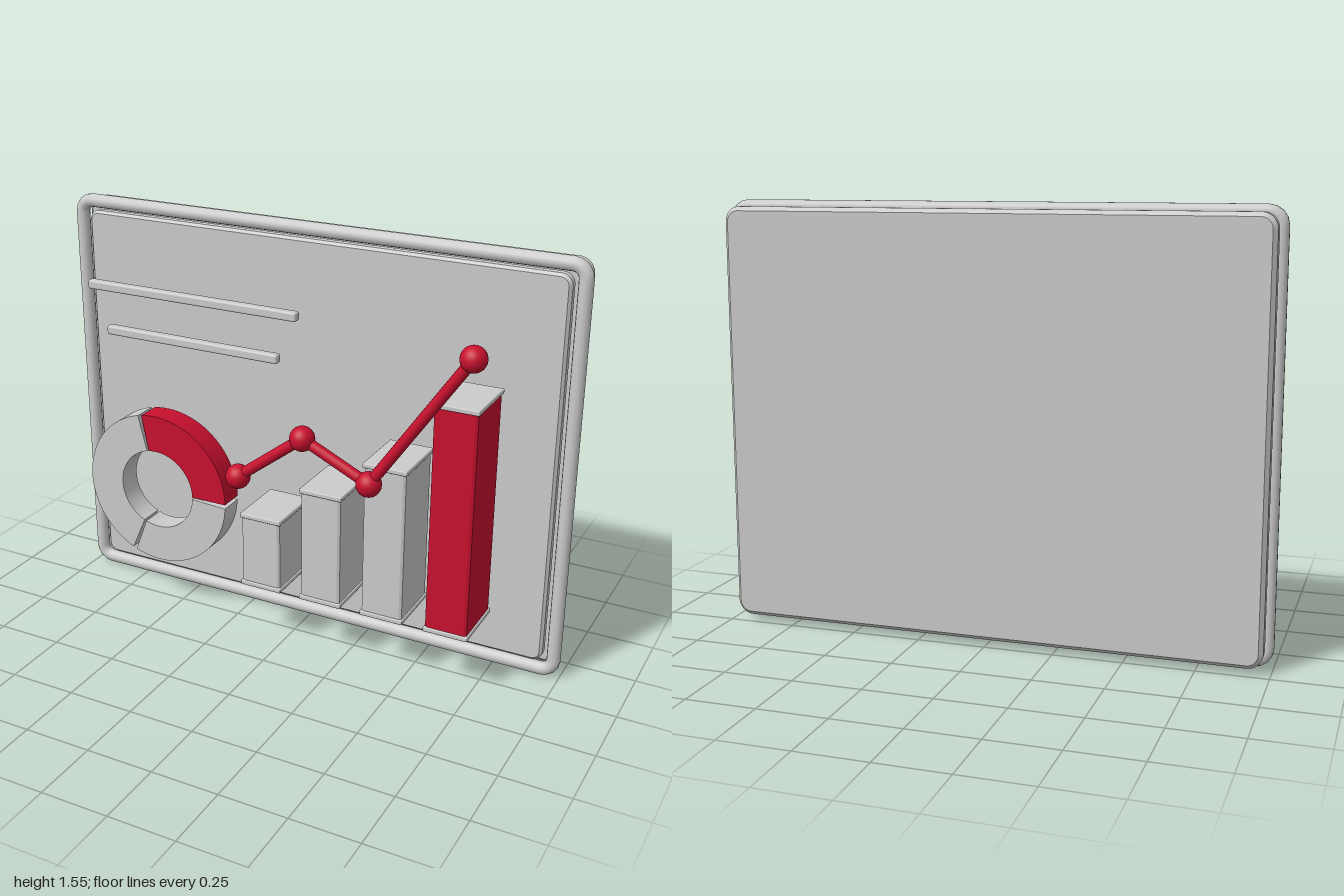
import * as THREE from 'three';
import { RoundedBoxGeometry } from 'three/addons/geometries/RoundedBoxGeometry.js';

const CY = 0.783; // height of the board's centre
const grey = new THREE.MeshStandardMaterial({ color: 0xcccccc });
const red = new THREE.MeshStandardMaterial({ color: 0xc8102e });

function add(parent, name, geometry, material, x = 0, y = 0, z = 0) {
  const mesh = new THREE.Mesh(geometry, material);
  mesh.name = name;
  mesh.position.set(x, y, z);
  parent.add(mesh);
  return mesh;
}

// Rounded rectangle centred on the origin
function roundedRect(w, h, r) {
  const s = new THREE.Shape();
  const x = w / 2 - r, y = h / 2 - r;
  s.absarc(x, y, r, 0, Math.PI / 2);
  s.absarc(-x, y, r, Math.PI / 2, Math.PI);
  s.absarc(-x, -y, r, Math.PI, Math.PI * 1.5);
  s.absarc(x, -y, r, Math.PI * 1.5, Math.PI * 2);
  s.closePath();
  return s;
}

// Chamfered slab of outer size w, h, d, centred on the origin
function slab(w, h, d, r, bevel) {
  return new THREE.ExtrudeGeometry(roundedRect(w - 2 * bevel, h - 2 * bevel, r), {
    depth: d - 2 * bevel, bevelEnabled: true, bevelThickness: bevel,
    bevelSize: bevel, bevelSegments: 1, curveSegments: 8,
  }).translate(0, 0, bevel - d / 2);
}

// Closed path around the frame: straight sides and quarter-round corners
function framePath(w, h, r) {
  const pts = roundedRect(w, h, r).getPoints(8);
  const path = new THREE.CurvePath();
  for (let i = 0; i < pts.length; i++) {
    const a = pts[i], b = pts[(i + 1) % pts.length];
    if (a.distanceTo(b) > 1e-5) {
      path.add(new THREE.LineCurve3(new THREE.Vector3(a.x, a.y, 0), new THREE.Vector3(b.x, b.y, 0)));
    }
  }
  return path;
}

// Part of a ring between two angles in degrees
function ringSegment(from, to, inner, outer, depth) {
  const a = THREE.MathUtils.degToRad(from), b = THREE.MathUtils.degToRad(to);
  const s = new THREE.Shape();
  s.absarc(0, 0, outer, a, b, false);
  s.absarc(0, 0, inner, b, a, true);
  s.closePath();
  return new THREE.ExtrudeGeometry(s, { depth, bevelEnabled: false, curveSegments: 32 })
    .translate(0, 0, -depth / 2);
}

export function createModel() {
  const model = new THREE.Group();
  model.name = 'chartBoard';

  // Board: back panel, screen and round frame
  add(model, 'backPanel', slab(1.95, 1.51, 0.07, 0.04, 0.015), grey, 0, CY, -0.213);
  add(model, 'screen', slab(1.87, 1.44, 0.045, 0.03, 0.01), grey, 0, CY, -0.143);
  add(model, 'frame', new THREE.TubeGeometry(framePath(1.95, 1.506, 0.045), 400, 0.025, 14, true),
    grey, 0, CY, -0.14);

  // Text lines
  for (const [x0, x1, y] of [[-0.855, 0.015, 1.262], [-0.78, -0.06, 1.095]]) {
    add(model, 'textLine', new RoundedBoxGeometry(x1 - x0, 0.034, 0.034, 2, 0.008),
      grey, (x0 + x1) / 2, y, 0.008);
  }

  // Ring chart
  const ring = new THREE.Group();
  ring.name = 'ringChart';
  ring.position.set(-0.56, 0.5, 0.016);
  model.add(ring);
  for (const [from, to, material] of [[0, 101, red], [104, 246, grey], [249, 357, grey]]) {
    add(ring, 'ringSegment', ringSegment(from, to, 0.157, 0.3, 0.095), material);
  }

  // Bar chart: chamfered columns between thin end plates
  const bottom = 0.237, plate = 0.018;
  [[-0.067, 0.53], [0.175, 0.68], [0.418, 0.83], [0.662, 1.095]].forEach(([x, top], i) => {
    const bar = new THREE.Group();
    bar.name = 'bar';
    bar.position.set(x, 0, 0.029);
    model.add(bar);
    const h = top - bottom;
    const column = new THREE.ExtrudeGeometry(
      new THREE.Shape([[-1, -0.95], [-0.88, -1], [0.88, -1], [1, -0.95], [1, 0.95], [0.88, 1], [-0.88, 1], [-1, 0.95]]
        .map(([u, v]) => new THREE.Vector2(u * 0.077, v * 0.112))),
      { depth: h - 2 * plate, bevelEnabled: false }).rotateX(-Math.PI / 2);
    add(bar, 'barColumn', column, i === 3 ? red : grey, 0, bottom + plate, 0);
    for (const y of [bottom + plate / 2, top - plate / 2]) {
      add(bar, 'barPlate', new RoundedBoxGeometry(0.165, plate, 0.236, 1, 0.004), grey, 0, y, 0);
    }
  });

  // Trend line: balls joined by rods
  const points = [[-0.12, 0.707], [0.135, 0.902], [0.387, 0.785], [0.735, 1.29]]
    .map(([x, y]) => new THREE.Vector3(x, y, 0.203));
  points.forEach((p, i) => {
    add(model, 'trendBall', new THREE.SphereGeometry(0.045, 24, 16), red, p.x, p.y, p.z);
    if (i === 0) return;
    const dir = p.clone().sub(points[i - 1]);
    const mid = p.clone().add(points[i - 1]).multiplyScalar(0.5);
    const rod = add(model, 'trendRod', new THREE.CylinderGeometry(0.02, 0.02, dir.length(), 16), red, mid.x, mid.y, mid.z);
    rod.quaternion.setFromUnitVectors(new THREE.Vector3(0, 1, 0), dir.normalize());
  });

  return model;
}
